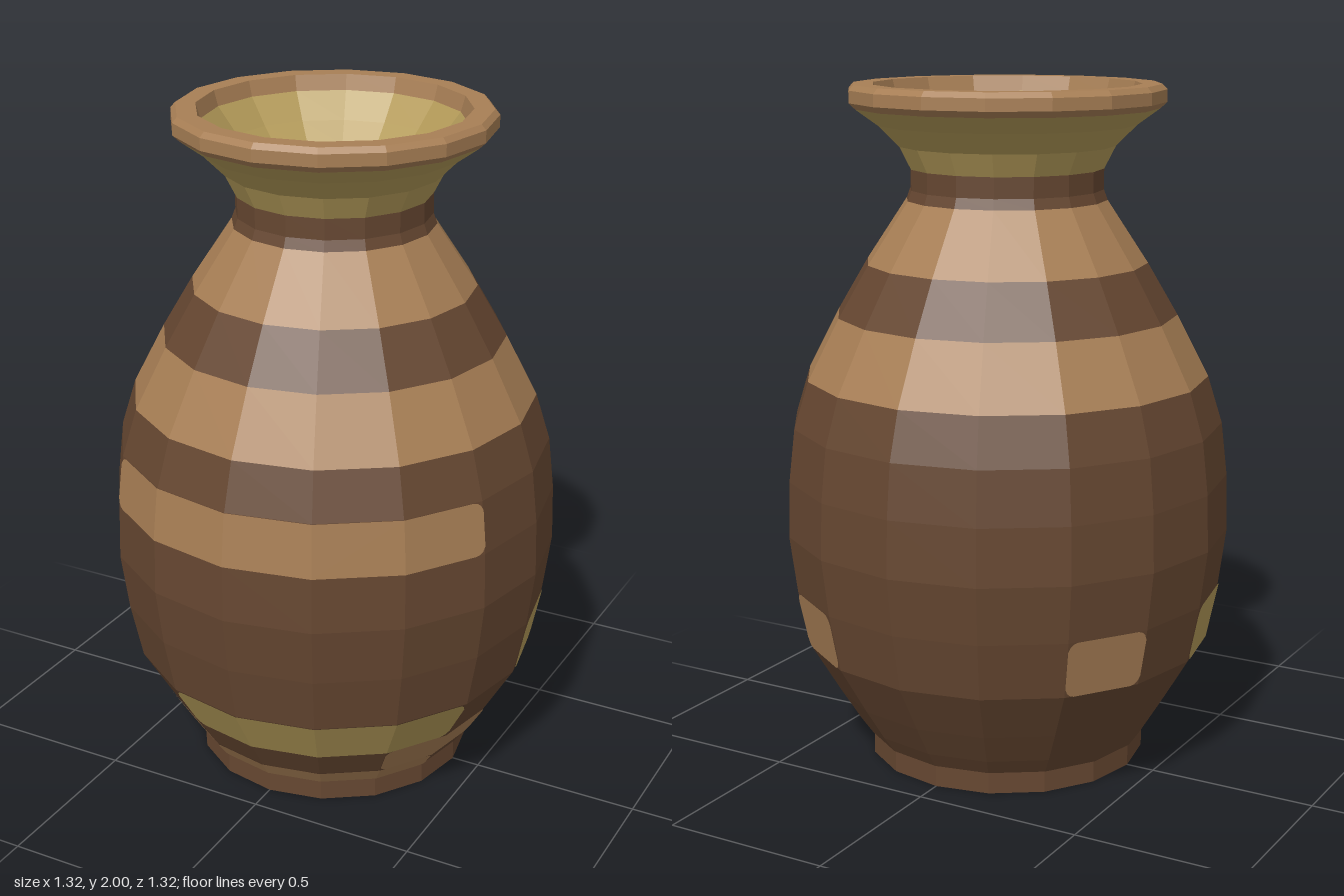
import * as THREE from 'three';

const SIDES = 16;
const mat = (name, color) => Object.assign(new THREE.MeshStandardMaterial({ color }), { name });

// Body rings from foot to neck as [radius, height]
const RINGS = [
  [0.42, 0.065], [0.455, 0.115], [0.515, 0.212], [0.602, 0.36], [0.637, 0.53], [0.659, 0.7],
  [0.654, 0.866], [0.636, 1.022], [0.593, 1.16], [0.5, 1.34], [0.412, 1.49], [0.293, 1.67],
  [0.282, 1.7], [0.282, 1.76],
];

function facet(geometry) {
  const g = geometry.index ? geometry.toNonIndexed() : geometry;
  g.computeVertexNormals();
  return g;
}

function turned(name, points, material) {
  const geo = new THREE.LatheGeometry(points.map(([r, y]) => new THREE.Vector2(r, y)), SIDES);
  const mesh = new THREE.Mesh(facet(geo), material);
  mesh.name = name;
  return mesh;
}

// Point on the faceted body: c in columns round from the front, v from 0 to 1 up the row
function onBody(row, c, v, lift) {
  const [r0, y0] = RINGS[row], [r1, y1] = RINGS[row + 1];
  const r = r0 + (r1 - r0) * v + lift, k = Math.floor(c), t = c - k;
  const a = (k * 2 * Math.PI) / SIDES, b = ((k + 1) * 2 * Math.PI) / SIDES;
  return [
    r * (Math.sin(a) * (1 - t) + Math.sin(b) * t),
    y0 + (y1 - y0) * v,
    r * (Math.cos(a) * (1 - t) + Math.cos(b) * t),
  ];
}

// Thin painted patch with rounded corners, spanning whole columns of one row
function patch(name, row, from, to, material) {
  const corner = [[0, 0.16], [0.03, 0.07], [0.07, 0.02], [0.12, 0]];
  const cuts = corner.map(([d, inset]) => [from + d, inset]);
  for (let c = from + 1; c < to; c++) cuts.push([c, 0]);
  cuts.push(...corner.map(([d, inset]) => [to - d, inset]).reverse());
  const pos = [];
  for (let i = 0; i < cuts.length - 1; i++) {
    const [c0, s0] = cuts[i], [c1, s1] = cuts[i + 1];
    const a = onBody(row, c0, s0, 0.003), b = onBody(row, c1, s1, 0.003);
    const c = onBody(row, c1, 1 - s1, 0.003), d = onBody(row, c0, 1 - s0, 0.003);
    pos.push(...a, ...b, ...c, ...a, ...c, ...d);
  }
  const geo = new THREE.BufferGeometry();
  geo.setAttribute('position', new THREE.Float32BufferAttribute(pos, 3));
  const mesh = new THREE.Mesh(facet(geo), material);
  mesh.name = name;
  return mesh;
}

export function createModel() {
  const brown = mat('brown clay', 0x664731);
  const tan = mat('tan clay', 0xa87f55);
  const olive = mat('olive glaze', 0xb49b59);
  const vase = new THREE.Group();
  vase.name = 'vase';

  // Foot, banded body and neck
  vase.add(
    turned('foot', [[0, 0], [0.415, 0], [0.415, 0.065], [0.42, 0.065]], brown),
    turned('belly', RINGS.slice(0, 9), brown),
    turned('lowerBand', RINGS.slice(8, 10), tan),
    turned('shoulder', RINGS.slice(9, 11), brown),
    turned('upperBand', RINGS.slice(10, 12), tan),
    turned('neck', RINGS.slice(11), brown),
  );

  // Flared mouth, lip and inside
  vase.add(
    turned('flare', [[0.282, 1.76], [0.315, 1.825], [0.375, 1.885], [0.44, 1.932]], olive),
    turned('lip', [[0.44, 1.932], [0.459, 1.95], [0.459, 1.985], [0.445, 2], [0.388, 2], [0.375, 1.955]], tan),
    turned('innerFlare', [[0.375, 1.955], [0.315, 1.88], [0.26, 1.82], [0.23, 1.76]], olive),
    turned('innerFloor', [[0.23, 1.76], [0, 1.76]], brown),
  );

  // Painted patches: row, first column, last column
  const patches = [
    ['frontStripe', 6, -2, 3, tan],
    ['lowFrontStripe', 2, -1, 3, olive],
    ['lowRightPatch', 1, -3, -1, tan],
    ['lowLeftPatch', 1, 2, 4, tan],
    ['baseStripe', 0, -1, 3, tan],
    ['rightPatch', 3, -4, -2, olive],
    ['leftUpperPatch', 3, 4, 5, olive],
    ['leftLowerPatch', 2, 4, 5, tan],
    ['backLeftPatch', 3, 6, 7, tan],
    ['backRightPatch', 3, 10, 11, tan],
  ];
  for (const p of patches) vase.add(patch(...p));
  return vase;
}
